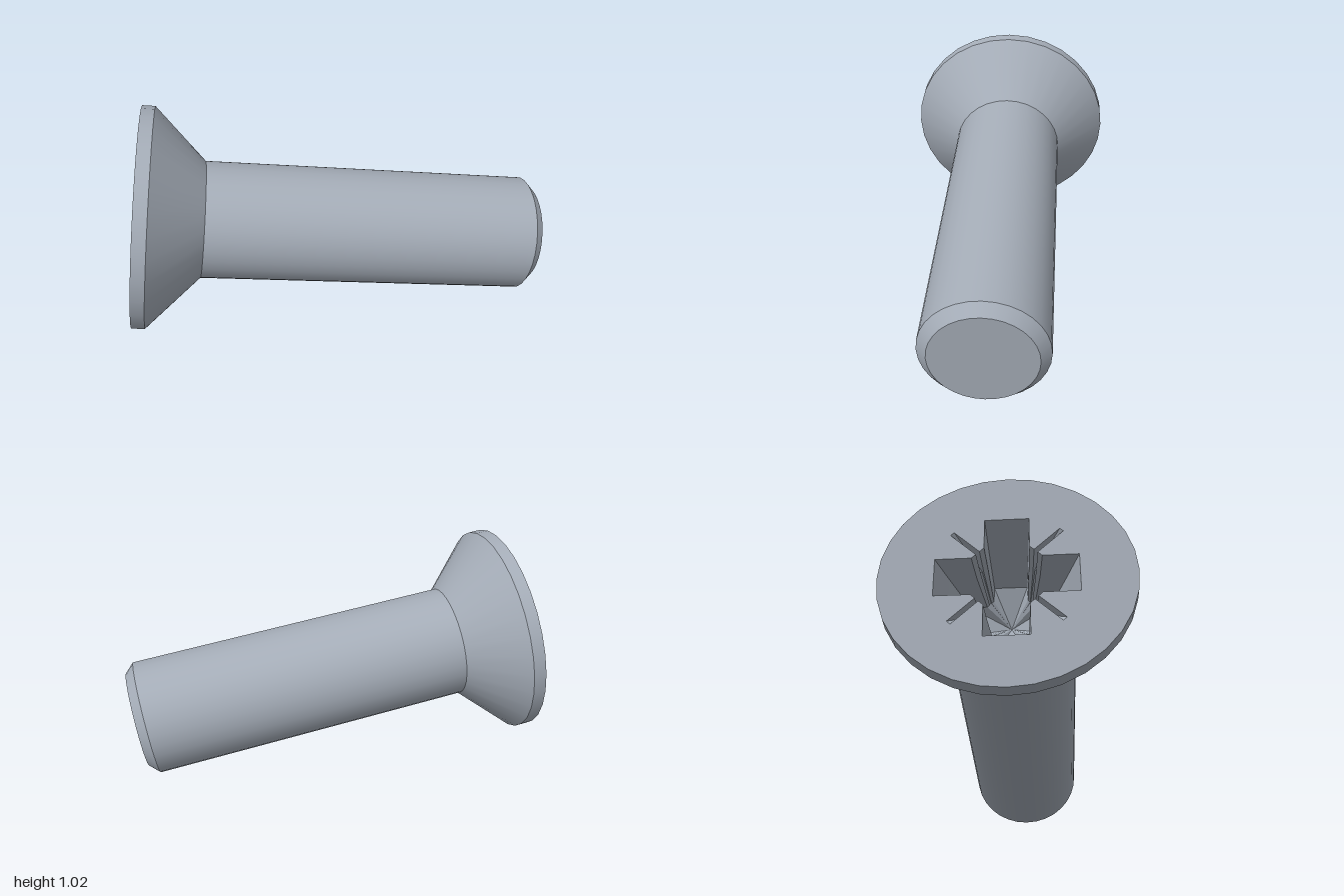
import * as THREE from 'three';

const SIDES = 32;
const HEAD_R = 0.51;

// One cross-section of the cross-shaped recess, counter-clockwise
function recessSection(outer, halfWidth, innerFar, innerNear, slotEnd, slotHalf) {
  const c = Math.SQRT1_2;
  const slotStart = (innerFar + innerNear) * c;
  const diag = (r, off) => [(r - off) * c, (r + off) * c];
  const quadrant = [
    [outer, halfWidth],
    [innerFar, innerNear],
    diag(slotStart, -slotHalf),
    diag(slotEnd, -slotHalf),
    diag(slotEnd, slotHalf),
    diag(slotStart, slotHalf),
    [innerNear, innerFar],
    [halfWidth, outer],
  ];
  const points = [];
  for (let k = 0; k < 4; k++) {
    const centre = new THREE.Vector2();
    for (const [x, y] of quadrant) {
      points.push(new THREE.Vector2(x, y).rotateAround(centre, k * Math.PI / 2));
    }
  }
  return points;
}

// Faceted walls through the sections, closed by a point at the bottom
function recessGeometry(sections, depths, apexDepth) {
  const positions = [];
  const at = (s, i) => [sections[s][i].x, sections[s][i].y, -depths[s]];
  const n = sections[0].length;
  const last = sections.length - 1;
  for (let i = 0; i < n; i++) {
    const j = (i + 1) % n;
    for (let s = 0; s < last; s++) {
      positions.push(...at(s, i), ...at(s, j), ...at(s + 1, j));
      positions.push(...at(s, i), ...at(s + 1, j), ...at(s + 1, i));
    }
    positions.push(...at(last, i), ...at(last, j), 0, 0, -apexDepth);
  }
  const geometry = new THREE.BufferGeometry();
  geometry.setAttribute('position', new THREE.Float32BufferAttribute(positions, 3));
  geometry.computeVertexNormals();
  return geometry;
}

export function createModel() {
  const steel = new THREE.MeshStandardMaterial({ color: 0xa5adb8 });
  steel.name = 'steel';
  const screw = new THREE.Group();
  screw.name = 'screw';
  const add = (name, geometry) => {
    const mesh = new THREE.Mesh(geometry, steel);
    mesh.name = name;
    screw.add(mesh);
  };

  // Turned bands along the axis, kept separate so the edges stay sharp
  const profile = [
    [0, -1.877], [0.2275, -1.877], [0.272, -1.832],
    [0.272, -0.298], [HEAD_R, -0.06], [HEAD_R, 0],
  ];
  const names = ['tipFace', 'tipChamfer', 'shank', 'headCone', 'headRim'];
  names.forEach((name, i) => {
    const points = [profile[i], profile[i + 1]].map(([r, z]) => new THREE.Vector2(r, z));
    add(name, new THREE.LatheGeometry(points, SIDES).rotateX(Math.PI / 2));
  });

  // Cross recess with four thin diagonal slots
  const sections = [
    recessSection(0.285, 0.09, 0.14, 0.09, 0.31, 0.01),
    recessSection(0.24, 0.083, 0.128, 0.083, 0.16, 0.008),
    recessSection(0.17, 0.07, 0.1, 0.072, 0.125, 0.006),
  ];
  add('driveRecess', recessGeometry(sections, [0, 0.12, 0.3], 0.37));

  // Flat head face with the recess opening cut out
  const face = new THREE.Shape();
  const rim = [];
  for (let i = 0; i < SIDES; i++) {
    const a = i / SIDES * Math.PI * 2;
    rim.push(new THREE.Vector2(HEAD_R * Math.cos(a), HEAD_R * Math.sin(a)));
  }
  face.setFromPoints(rim);
  face.holes.push(new THREE.Path(sections[0]));
  add('headFace', new THREE.ShapeGeometry(face));

  // Lay the screw down: local +z points out of the head face
  const out = new THREE.Vector3(-0.97, 0.13, -0.2056).normalize();
  const side = new THREE.Vector3(0, 1, 0).cross(out).normalize();
  const up = out.clone().cross(side);
  screw.quaternion.setFromRotationMatrix(new THREE.Matrix4().makeBasis(side, up, out));
  screw.position.set(-0.876, 0.512, -0.073);

  const model = new THREE.Group();
  model.name = 'countersunkScrew';
  model.add(screw);
  return model;
}
